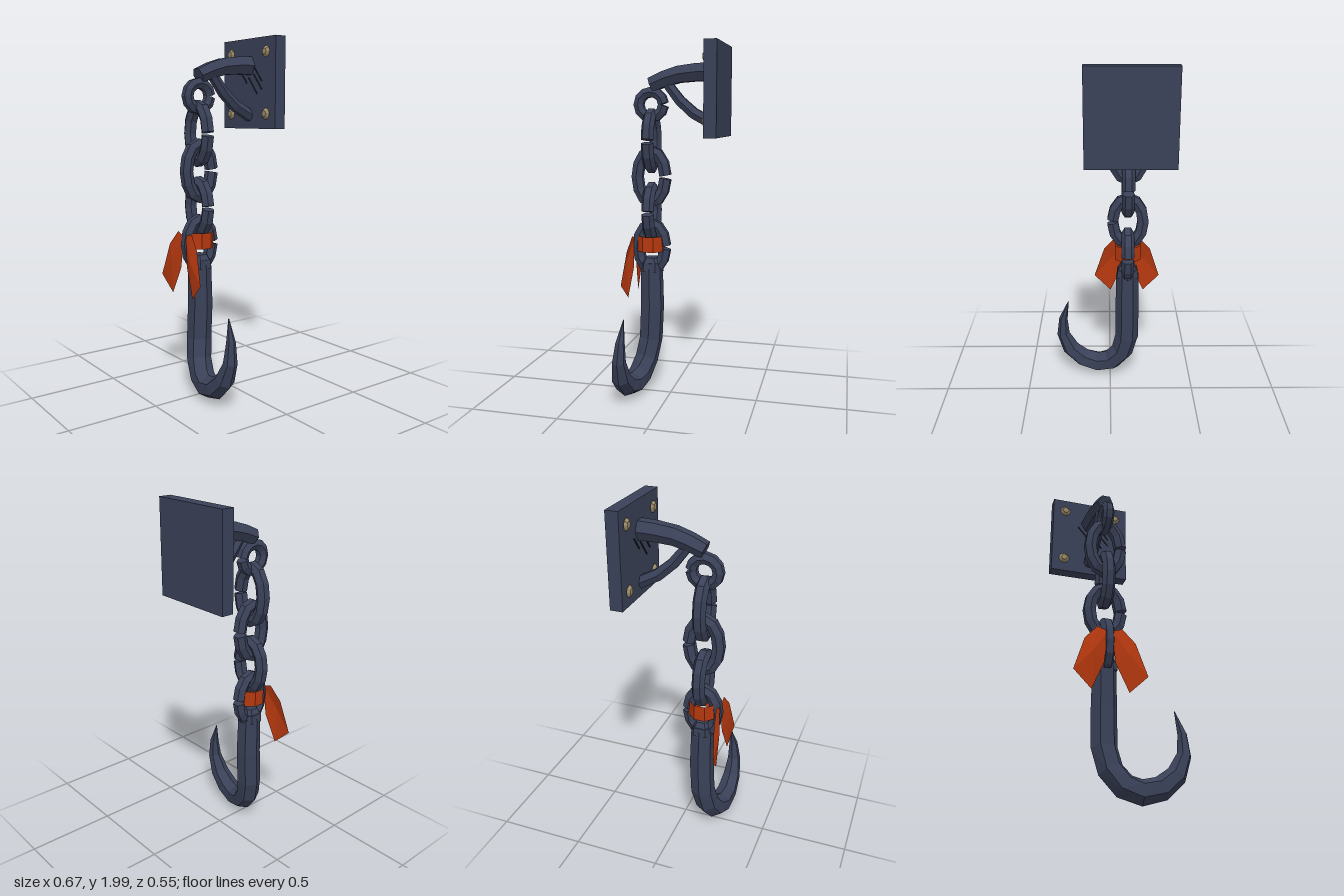
import * as THREE from 'three';

const CX = -0.1025, CZ = 0.14; // axis the chain hangs on

const mat = (name, color, extra = {}) => {
  const m = new THREE.MeshStandardMaterial({ color, flatShading: true, ...extra });
  m.name = name;
  return m;
};

// Six-sided bar swept along points with a radius at each; ref is the fixed side axis.
function bar(points, radii, ref, phase = 0, sides = 6) {
  const pos = [], idx = [], n = points.length;
  points.forEach((p, i) => {
    const t = points[Math.min(i + 1, n - 1)].clone().sub(points[Math.max(i - 1, 0)]).normalize();
    const side = ref.clone().addScaledVector(t, -ref.dot(t)).normalize();
    const up = t.clone().cross(side);
    for (let j = 0; j < sides; j++) {
      const a = phase + (j / sides) * Math.PI * 2;
      const v = p.clone().addScaledVector(side, Math.cos(a) * radii[i]).addScaledVector(up, Math.sin(a) * radii[i]);
      pos.push(v.x, v.y, v.z);
    }
  });
  const start = n * sides, end = start + 1, last = (n - 1) * sides;
  for (const p of [points[0], points[n - 1]]) pos.push(p.x, p.y, p.z);
  for (let j = 0; j < sides; j++) {
    const k = (j + 1) % sides;
    for (let i = 0; i < n - 1; i++) {
      const a = i * sides + j, b = i * sides + k;
      idx.push(a, b, a + sides, b, b + sides, a + sides);
    }
    idx.push(start, k, j, end, last + j, last + k);
  }
  const g = new THREE.BufferGeometry();
  g.setAttribute('position', new THREE.Float32BufferAttribute(pos, 3));
  g.setIndex(idx);
  const flat = g.toNonIndexed();
  flat.computeVertexNormals();
  return flat;
}

// Oval link in the XY plane, split by a narrow gap on its +x side.
function linkGeometry(halfWidth, halfHeight, r) {
  const pts = [], steps = 12, gap = 0.06;
  for (let i = 0; i <= steps; i++) {
    const a = gap + (i / steps) * (Math.PI * 2 - gap * 2);
    pts.push(new THREE.Vector3(Math.cos(a) * (halfWidth - r), Math.sin(a) * (halfHeight - r), 0));
  }
  return bar(pts, pts.map(() => r), new THREE.Vector3(0, 0, 1));
}

export function createModel() {
  const group = new THREE.Group();
  group.name = 'hangingHook';
  const iron = mat('iron', 0x3a4158);
  const dark = mat('darkScratch', 0x1c2029);
  const brass = mat('brass', 0x9a8a68);
  const cloth = mat('orangeCloth', 0xb5380f, { side: THREE.DoubleSide });

  const add = (name, geometry, material, x = 0, y = 0, z = 0) => {
    const m = new THREE.Mesh(geometry, material);
    m.name = name;
    m.position.set(x, y, z);
    group.add(m);
    return m;
  };
  const V = (x, y, z) => new THREE.Vector3(x, y, z);

  // Wall plate
  add('wallPlate', new THREE.BoxGeometry(0.475, 0.51, 0.07), iron, CX, 1.745, -0.245);

  // Domed bolts near the plate corners
  const boltProfile = [[0, 0], [0.022, 0], [0.033, 0.006], [0.018, 0.02], [0, 0.021]]
    .map(([x, y]) => new THREE.Vector2(x, y));
  const boltGeo = new THREE.LatheGeometry(boltProfile, 8);
  for (const x of [-0.265, 0.057]) for (const y of [1.575, 1.918]) {
    add('bolt', boltGeo, brass, x, y, -0.211).rotation.x = Math.PI / 2;
  }

  // Scratches across the plate, behind the arm
  for (const [x, y, len] of [[-0.02, 1.8, 0.11], [-0.02, 1.755, 0.11], [-0.065, 1.735, 0.12], [-0.15, 1.785, 0.09]]) {
    add('scratch', new THREE.BoxGeometry(0.006, len, 0.006), dark, x, y, -0.208).rotation.z = 0.7;
  }

  // Curved arm and its lower brace
  const X = V(1, 0, 0);
  const arm = [[1.847, -0.22], [1.845, -0.12], [1.835, -0.02], [1.812, 0.06], [1.78, 0.14]];
  add('arm', bar(arm.map(([y, z]) => V(CX, y, z)), [0.058, 0.056, 0.053, 0.05, 0.046], X), iron);
  const brace = [[1.562, -0.22], [1.62, -0.11], [1.69, -0.03], [1.785, 0.045]];
  add('brace', bar(brace.map(([y, z]) => V(CX, y, z)), [0.036, 0.035, 0.033, 0.03], X), iron);

  // Chain: links alternate between facing the side and facing the front
  const links = [
    [1.67, 0.105, 0.103, 0.033, true],
    [1.465, 0.125, 0.188, 0.037, false],
    [1.26, 0.12, 0.184, 0.037, true],
    [1.06, 0.125, 0.174, 0.037, false],
    [0.852, 0.118, 0.17, 0.037, true],
  ];
  links.forEach(([y, w, h, r, sideways], i) => {
    const m = add('chainLink' + (i + 1), linkGeometry(w, h, r), iron, CX, y, CZ);
    if (sideways) m.rotation.y = Math.PI / 2;
  });

  // Collar at the head of the hook
  add('hookCollar', new THREE.CylinderGeometry(0.068, 0.072, 0.05, 6), iron, CX, 0.735, CZ);
  add('hookCap', new THREE.CylinderGeometry(0.045, 0.062, 0.03, 6), iron, CX, 0.775, CZ);

  // Hook: x, y, z, radius along the bend to the point
  const hook = [
    [CX, 0.73, 0.14, 0.066], [CX, 0.5, 0.137, 0.07], [CX, 0.3, 0.146, 0.07], [-0.075, 0.185, 0.165, 0.069],
    [-0.01, 0.105, 0.187, 0.068], [0.075, 0.076, 0.206, 0.066], [0.17, 0.1, 0.217, 0.062],
    [0.25, 0.17, 0.22, 0.054], [0.295, 0.275, 0.217, 0.039], [0.292, 0.385, 0.21, 0.026], [0.258, 0.508, 0.2, 0.002],
  ];
  add('hook', bar(hook.map(([x, y, z]) => V(x, y, z)), hook.map((p) => p[3]), V(0, 0, 1), Math.PI / 2), iron);

  // Cloth band tied through the last link
  add('clothBand', new THREE.CylinderGeometry(0.081, 0.081, 0.09, 8, 1, true, Math.PI / 8), cloth, CX, 0.873, 0.143);

  // Two folded cloth tails, mirrored: offsets from the chain axis
  const rim = [[0.01, 0.9, 0.24], [0.068, 0.92, 0.238], [0.138, 0.84, 0.25], [0.198, 0.655, 0.268],
    [0.1, 0.562, 0.256], [0.03, 0.72, 0.243]];
  const fold = [0.095, 0.77, 0.268];
  for (const s of [-1, 1]) {
    const pos = [];
    rim.forEach((p, i) => {
      const q = rim[(i + 1) % rim.length];
      for (const [x, y, z] of s > 0 ? [fold, q, p] : [fold, p, q]) pos.push(CX + s * x, y, z);
    });
    const g = new THREE.BufferGeometry();
    g.setAttribute('position', new THREE.Float32BufferAttribute(pos, 3));
    g.computeVertexNormals();
    add(s > 0 ? 'leftClothTail' : 'rightClothTail', g, cloth);
  }
  return group;
}
